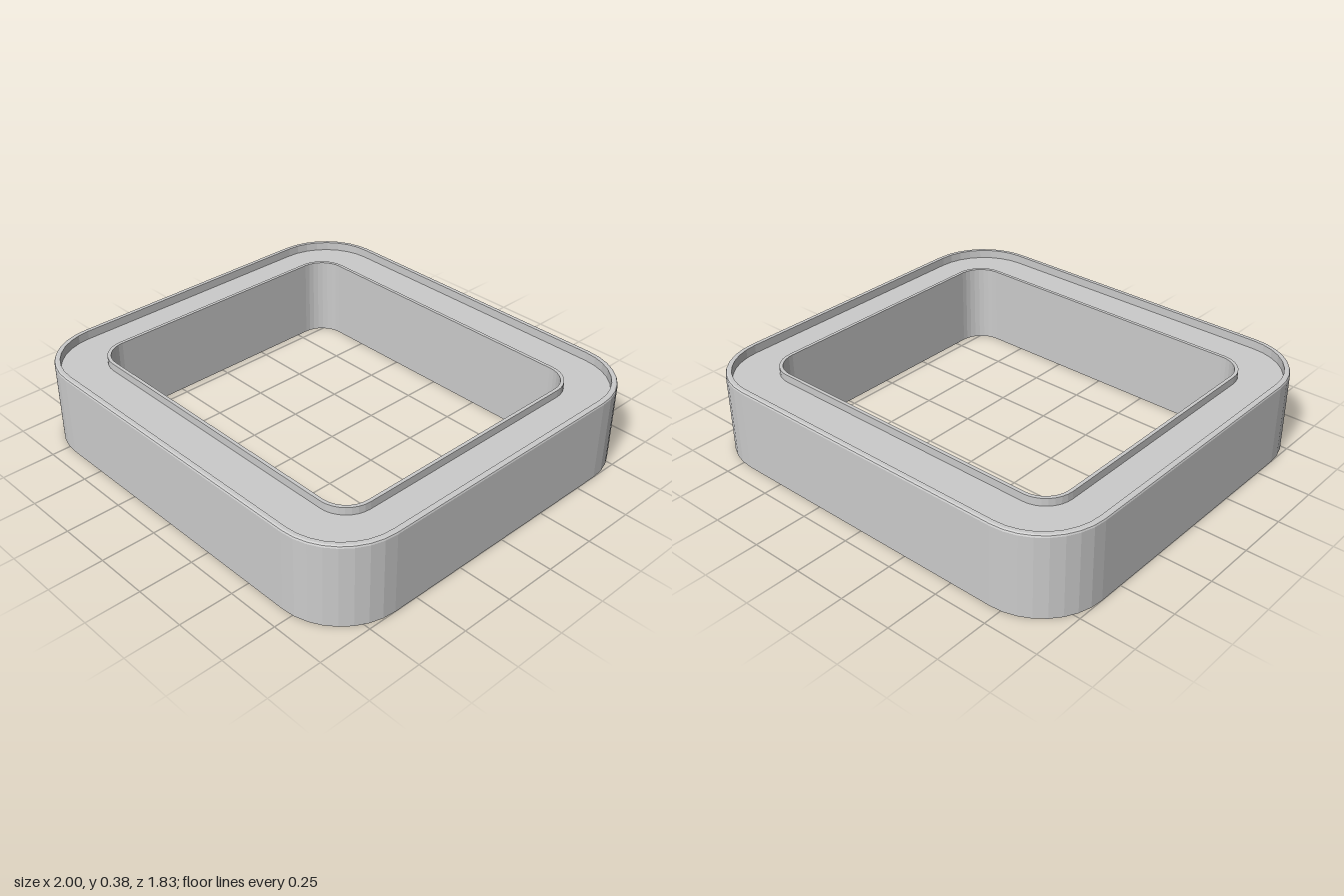
import * as THREE from 'three';

const CORNER_STEPS = 8;

// Points of a rounded rectangle, counter-clockwise in (x, y)
function roundedRect(hx, hz, r) {
  const pts = [];
  const corners = [[1, 1], [-1, 1], [-1, -1], [1, -1]];
  corners.forEach(([sx, sz], c) => {
    for (let i = 0; i <= CORNER_STEPS; i++) {
      const a = (c + i / CORNER_STEPS) * Math.PI / 2;
      pts.push(new THREE.Vector2(sx * (hx - r) + r * Math.cos(a), sz * (hz - r) + r * Math.sin(a)));
    }
  });
  return pts;
}

// Sweeps a closed [inset, y] profile around a rounded rectangle
function wallGeometry(hx, hz, r, profile) {
  const rings = profile.map(([d, y]) =>
    roundedRect(hx - d, hz - d, r - d).map(p => [p.x, y, -p.y]));
  const pos = [];
  const n = rings[0].length;
  rings.forEach((lower, k) => {
    const upper = rings[(k + 1) % rings.length];
    for (let i = 0; i < n; i++) {
      const j = (i + 1) % n;
      pos.push(...lower[i], ...lower[j], ...upper[j], ...lower[i], ...upper[j], ...upper[i]);
    }
  });
  const g = new THREE.BufferGeometry();
  g.setAttribute('position', new THREE.Float32BufferAttribute(pos, 3));
  g.computeVertexNormals();
  return g;
}

export function createModel() {
  const group = new THREE.Group();
  const material = new THREE.MeshStandardMaterial({ color: 0xcccccc, flatShading: true });
  const add = (name, geometry) => {
    const mesh = new THREE.Mesh(geometry, material);
    mesh.name = name;
    group.add(mesh);
    return mesh;
  };

  const H = 0.385;

  // Outer skirt with a softened top edge
  add('outerWall', wallGeometry(1, 0.915, 0.3,
    [[0, 0], [0, H - 0.01], [0.003, H - 0.003], [0.01, H], [0.026, H], [0.026, 0]]));

  // Inner wall around the opening
  add('innerWall', wallGeometry(0.802, 0.692, 0.135,
    [[0, 0], [0, H - 0.005], [0.016, H - 0.005], [0.016, 0]]));

  // Recessed top plate joining both walls; the channel below is open
  const shape = new THREE.Shape(roundedRect(0.985, 0.9, 0.285));
  shape.holes.push(new THREE.Path(roundedRect(0.794, 0.684, 0.127).reverse()));
  const plate = new THREE.ExtrudeGeometry(shape, { depth: 0.03, bevelEnabled: false });
  plate.rotateX(-Math.PI / 2);
  add('topPlate', plate).position.y = H - 0.07;

  return group;
}
